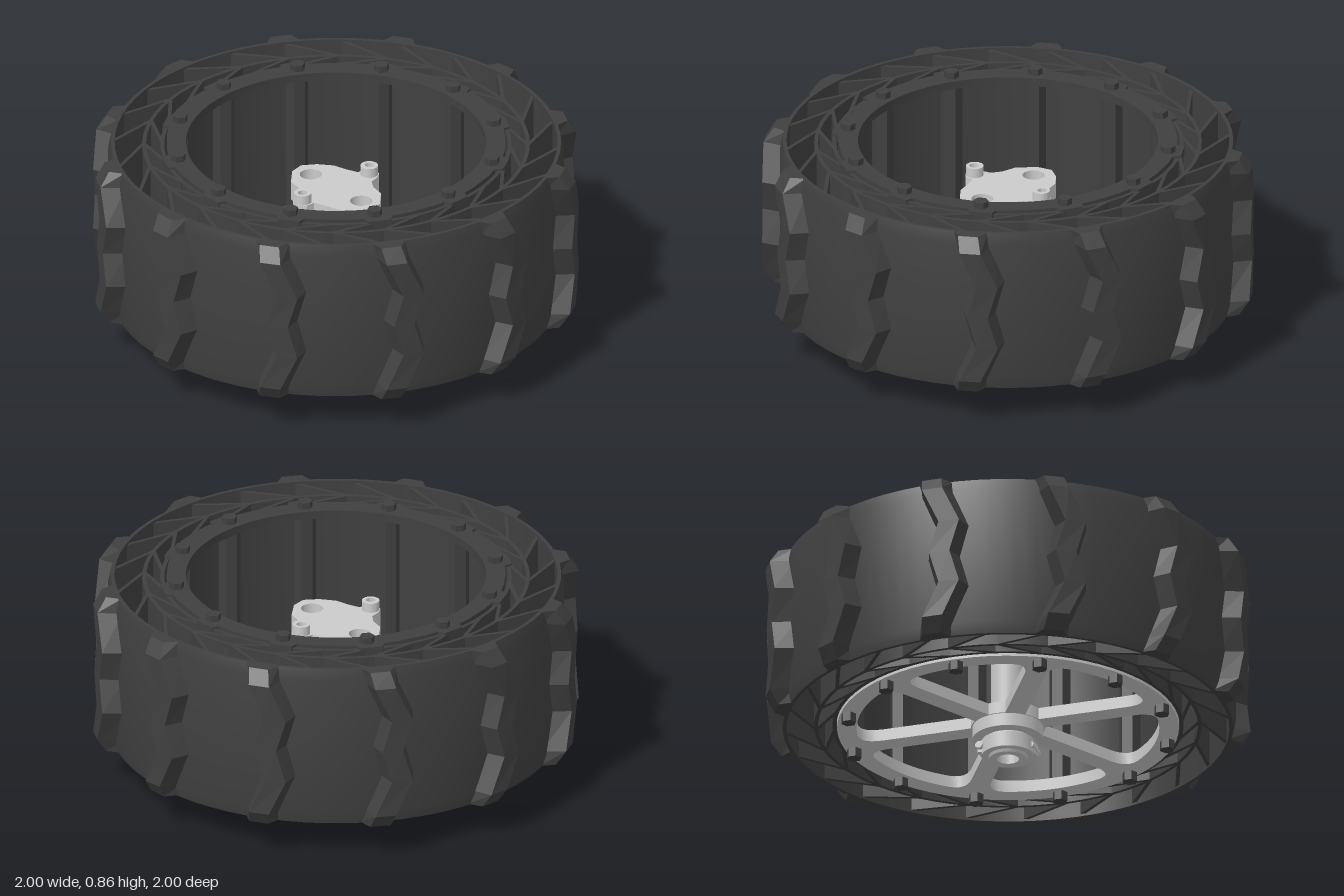
import * as THREE from 'three';
import { toCreasedNormals } from 'three/addons/utils/BufferGeometryUtils.js';

const TAU = Math.PI * 2;
const dark = new THREE.MeshStandardMaterial({ color: 0x404040, side: THREE.DoubleSide });
const darkFlat = new THREE.MeshStandardMaterial({ color: 0x404040, flatShading: true });
const grey = new THREE.MeshStandardMaterial({ color: 0xcccccc });

// Point on a circle; angle 0 faces +z and grows toward +x
const polar = (r, a) => new THREE.Vector2(r * Math.sin(a), r * Math.cos(a));

function add(parent, name, geometry, material) {
  const mesh = new THREE.Mesh(geometry, material);
  mesh.name = name;
  parent.add(mesh);
  return mesh;
}

// Flat outline in x/z, extruded from y0 up to y1
function slab(shape, y0, y1) {
  const g = new THREE.ExtrudeGeometry(shape, { depth: y1 - y0, bevelEnabled: false, curveSegments: 32 });
  return toCreasedNormals(g.rotateX(Math.PI / 2).translate(0, y1, 0), 0.5);
}

// Closed ring turned from [radius, y] pairs, counter-clockwise seen with y up
function turned(points, segments = 72) {
  const profile = [...points, points[0]].map(([r, y]) => new THREE.Vector2(r, y));
  return toCreasedNormals(new THREE.LatheGeometry(profile, segments), 0.4);
}
const tube = (r0, r1, y0, y1) => turned([[r0, y0], [r1, y0], [r1, y1], [r0, y1]]);

const circlePath = (x, z, r) => new THREE.Path().absarc(x, z, r, 0, TAU, true);

// Zigzag tread bar: [y, sideways shift, crest radius]
const lugSections = [
  [0.14, -0.015, 0.96], [0.2, 0, 1], [0.35, 0.07, 1], [0.485, 0.03, 1],
  [0.62, 0.07, 1], [0.77, 0, 1], [0.83, -0.015, 0.96],
];
function lugGeometry() {
  const pos = [], index = [];
  for (const [y, shift, crest] of lugSections) {
    for (const [r, w] of [[0.905, -0.08], [crest, -0.043], [crest, 0.043], [0.905, 0.08]]) {
      const p = polar(r, shift + w);
      pos.push(p.x, y, p.y);
    }
  }
  const last = lugSections.length - 1;
  for (let i = 0; i < last; i++) {
    for (let j = 0; j < 4; j++) {
      const a = i * 4 + j, b = i * 4 + (j + 1) % 4;
      index.push(a, b, b + 4, a, b + 4, a + 4);
    }
  }
  const e = last * 4;
  index.push(0, 2, 1, 0, 3, 2, e, e + 1, e + 2, e, e + 2, e + 3);
  const g = new THREE.BufferGeometry();
  g.setAttribute('position', new THREE.Float32BufferAttribute(pos, 3));
  g.setIndex(index);
  g.computeVertexNormals();
  return g;
}

// Upright web blade between two polar points
function addBlade(parent, r0, a0, r1, a1) {
  const p = polar(r0, a0), q = polar(r1, a1);
  const blade = add(parent, 'webBlade', new THREE.BoxGeometry(p.distanceTo(q), 0.67, 0.015), dark);
  blade.position.set((p.x + q.x) / 2, 0.485, (p.y + q.y) / 2);
  blade.rotation.y = Math.atan2(p.y - q.y, q.x - p.x);
}

// Disc with six spokes left between filleted windows
function wheelPlate() {
  const shape = new THREE.Shape().absarc(0, 0, 0.695, 0, TAU, false);
  const half = TAU / 12, edge = r => half - Math.asin(0.042 / r);
  for (let k = 0; k < 6; k++) {
    const c = k * TAU / 6 + half;
    const at = (r, s) => polar(r, c + s);
    const pts = [];
    const fillet = (from, corner, to) =>
      pts.push(...new THREE.QuadraticBezierCurve(from, corner, to).getPoints(6));
    const arc = (r, s0, s1) => {
      for (let i = 1; i < 12; i++) pts.push(at(r, s0 + (s1 - s0) * i / 12));
    };
    const o = edge(0.615), n = edge(0.15);
    fillet(at(0.52, -edge(0.52)), at(0.615, -o), at(0.615, -o + 0.12));
    arc(0.615, -o + 0.12, o - 0.12);
    fillet(at(0.615, o - 0.12), at(0.615, o), at(0.52, edge(0.52)));
    pts.push(at(0.15, n));
    arc(0.15, n, -n);
    pts.push(at(0.15, -n));
    shape.holes.push(new THREE.Path(pts));
  }
  return slab(shape, 0.14, 0.19);
}

// Upper clamping ring with a small tab at each bolt
function flange(y0, y1) {
  const pts = [];
  for (let i = 0; i < 12; i++) {
    for (const [r, s] of [[0.69, -0.17], [0.69, -0.085], [0.72, -0.065], [0.72, 0.065], [0.69, 0.085], [0.69, 0.17]]) {
      pts.push(polar(r, i * TAU / 12 + s));
    }
  }
  const shape = new THREE.Shape(pts);
  shape.holes.push(circlePath(0, 0, 0.61));
  return slab(shape, y0, y1);
}

// Lobed hub bracket, the same after half a turn
function bracket() {
  const half = [
    [-0.21, -0.09], [-0.19, -0.15], [-0.13, -0.178], [-0.06, -0.185], [0, -0.165], [0.05, -0.155],
    [0.07, -0.185], [0.1, -0.19], [0.135, -0.17], [0.138, -0.13], [0.125, -0.09], [0.145, -0.045], [0.19, 0],
  ];
  const pts = [...half, ...half.map(([x, z]) => [-x, -z])].map(p => new THREE.Vector2(...p));
  const shape = new THREE.Shape(pts);
  for (const s of [-1, 1]) {
    shape.holes.push(circlePath(s * 0.13, s * 0.085, 0.045));
    shape.holes.push(circlePath(s * 0.098, s * -0.155, 0.019));
  }
  return slab(shape, 0.54, 0.62);
}

export function createModel() {
  const model = new THREE.Group();
  model.name = 'wheel';

  // Tire: outer band, tread bars and springy web
  const tire = new THREE.Group();
  tire.name = 'tire';
  model.add(tire);
  add(tire, 'treadBand', turned([
    [0.9, 0.14], [0.915, 0.14], [0.927, 0.19], [0.927, 0.78], [0.915, 0.83], [0.9, 0.83],
  ]), dark);
  const lug = lugGeometry();
  for (let i = 0; i < 12; i++) add(tire, 'treadLug', lug, darkFlat).rotation.y = i * TAU / 12;
  add(tire, 'webRing', tube(0.772, 0.788, 0.15, 0.82), dark);
  add(tire, 'innerWall', tube(0.698, 0.714, 0.15, 0.82), dark);
  for (let i = 0; i < 24; i++) {
    const a = i * TAU / 24;
    addBlade(tire, 0.78, a, 0.907, a + 0.24);
    addBlade(tire, 0.78, a, 0.708, a + 0.24);
  }

  // Rim: clamping ring, bolt sleeves and bolts
  add(model, 'topFlange', flange(0.795, 0.83), dark);
  const sleeve = new THREE.CylinderGeometry(0.045, 0.045, 0.61, 6);
  const head = new THREE.CylinderGeometry(0.031, 0.031, 0.04, 6);
  for (let i = 0; i < 12; i++) {
    const p = polar(0.66, i * TAU / 12 - 0.012);
    for (const [name, g, y] of [['boltSleeve', sleeve, 0.495], ['boltHead', head, 0.837], ['boltNut', head, 0.121]]) {
      add(model, name, g, darkFlat).position.set(p.x, y, p.y);
    }
  }

  // Spoked plate and hub
  add(model, 'spokedPlate', wheelPlate(), grey);
  add(model, 'hubPost', new THREE.CylinderGeometry(0.07, 0.07, 0.38, 32).translate(0, 0.36, 0), grey);
  add(model, 'hubBracket', bracket(), grey);
  for (const s of [-1, 1]) {
    const ear = new THREE.Shape().absarc(s * 0.098, s * -0.152, 0.036, 0, TAU, false);
    ear.holes.push(circlePath(s * 0.098, s * -0.155, 0.019));
    add(model, 'bracketEar', slab(ear, 0.6, 0.66), grey);
  }
  add(model, 'hubDisc', new THREE.CylinderGeometry(0.145, 0.145, 0.055, 48).translate(0, 0.1135, 0), grey);

  // Clamping collar with a bore and two cross screws
  add(model, 'collar', turned([
    [0.045, 0], [0.075, 0], [0.08, 0.012], [0.108, 0.012], [0.108, 0.078], [0.09, 0.09], [0.045, 0.09],
  ], 40), grey);
  for (const s of [-1, 1]) {
    const lugBlock = add(model, 'collarBlock', new THREE.BoxGeometry(0.06, 0.05, 0.03), grey);
    lugBlock.position.set(s * 0.03, 0.045, s * 0.095);
    const screw = add(model, 'collarScrew', new THREE.CylinderGeometry(0.015, 0.015, 0.1, 12), grey);
    screw.rotation.z = Math.PI / 2;
    screw.position.set(s * 0.03, 0.045, s * 0.1);
  }
  return model;
}
